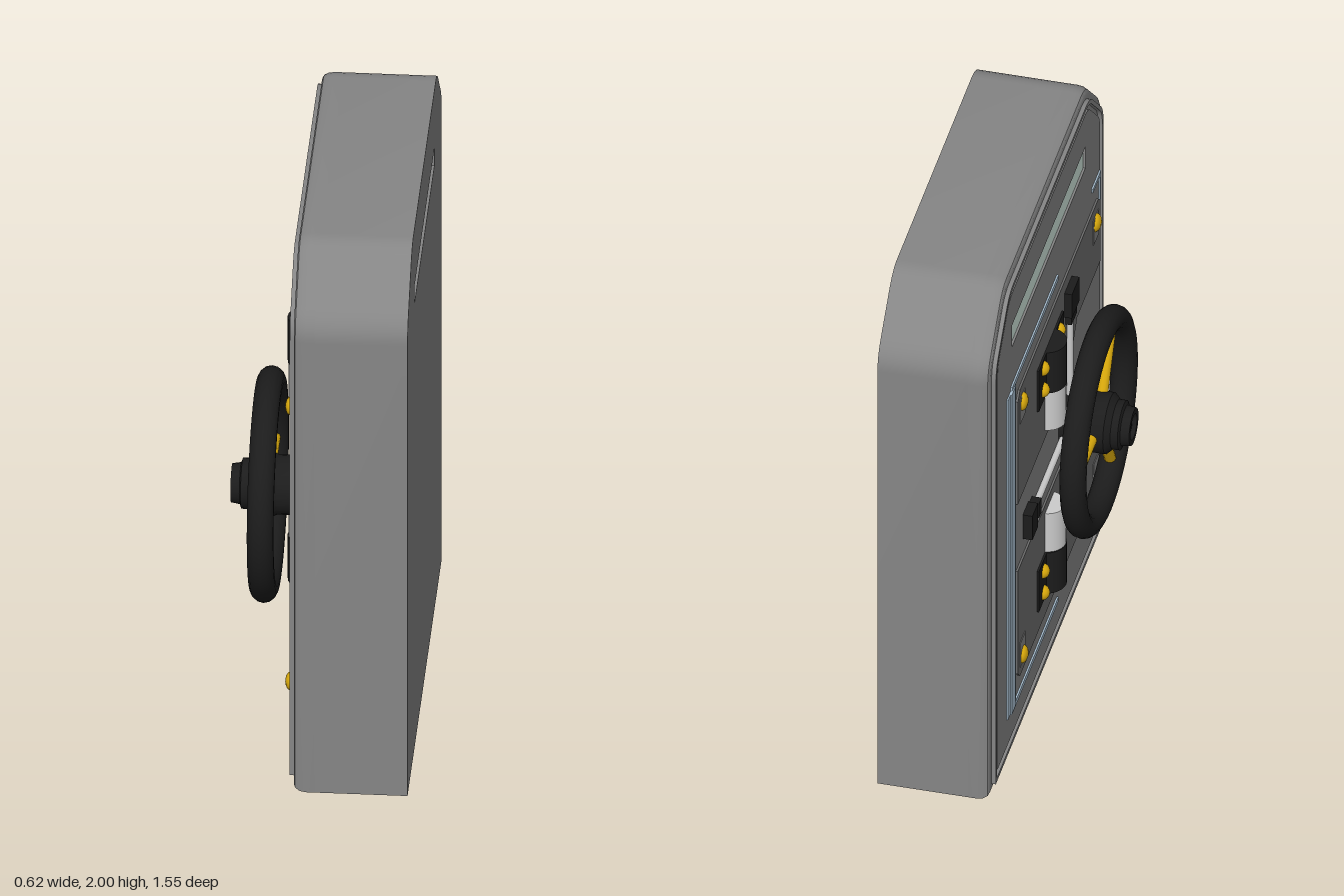
import * as THREE from 'three';
import { toCreasedNormals } from 'three/addons/utils/BufferGeometryUtils.js';

const mat = (color) => new THREE.MeshStandardMaterial({ color });

export function createModel() {
  const model = new THREE.Group();
  model.name = 'vaultDoor';
  // Built facing local +z, then turned so that the door faces -x
  const door = new THREE.Group();
  door.name = 'door';
  door.rotation.y = -Math.PI / 2;
  model.add(door);

  const steel = mat(0x858585), plateGrey = mat(0x6c6c6c), light = mat(0xcccccc);
  const black = mat(0x1c1c1c), yellow = mat(0xd9a90c), blue = mat(0xa9c0d2), glass = mat(0xcfe4da);

  const add = (name, geo, material, x = 0, y = 0, z = 0) => {
    const m = new THREE.Mesh(geo, material);
    m.name = name;
    m.position.set(x, y, z);
    door.add(m);
    return m;
  };
  // Box given by its limits
  const box = (name, material, x0, x1, y0, y1, z0, z1) =>
    add(name, new THREE.BoxGeometry(x1 - x0, y1 - y0, z1 - z0), material,
      (x0 + x1) / 2, (y0 + y1) / 2, (z0 + z1) / 2);
  const extrude = (name, shape, material, z0, depth, bevel = { bevelEnabled: false }) => {
    const geo = new THREE.ExtrudeGeometry(shape, { depth, curveSegments: 6, ...bevel });
    return add(name, toCreasedNormals(geo, 0.6), material, 0, 0, z0);
  };

  // Door outline with chamfered, softened upper corners, inset by i
  const trace = (path, i) => {
    const w = 0.775 - i, t = 2 - i, k = i * 0.41, d = i * 0.7;
    path.moveTo(-w, i);
    path.lineTo(w, i);
    path.lineTo(w, 1.73 - k);
    path.quadraticCurveTo(w, 1.79 - k, 0.73 - d, 1.835 - d);
    path.lineTo(0.62 - d, 1.945 - d);
    path.quadraticCurveTo(0.57 - k, t, 0.51 - k, t);
    path.lineTo(-0.51 + k, t);
    path.quadraticCurveTo(-0.57 + k, t, -0.62 + d, 1.945 - d);
    path.lineTo(-0.73 + d, 1.835 - d);
    path.quadraticCurveTo(-w, 1.79 - k, -w, 1.73 - k);
    path.closePath();
    return path;
  };
  const slot = (w, y0, y1) => new THREE.Path([
    [-w, y0], [-w, y1], [w, y1], [w, y0], [-w, y0]].map(([x, y]) => new THREE.Vector2(x, y)));
  const slab = (inset, hole) => {
    const s = trace(new THREE.Shape(), inset);
    s.holes.push(hole);
    return s;
  };

  // Body, bevelled front, raised rim and inner face
  extrude('body', slab(0, slot(0.45, 1.71, 1.78)), steel, -0.31, 0.31);
  extrude('frontBevel', slab(0, slot(0.45, 1.71, 1.78)), steel, 0, 0.03,
    { bevelEnabled: true, bevelThickness: 0.04, bevelSize: 0.02, bevelOffset: -0.02, bevelSegments: 3 });
  extrude('rim', slab(0.04, trace(new THREE.Path(), 0.055)), steel, 0.06, 0.025);
  extrude('innerFace', slab(0.075, slot(0.5, 1.7, 1.79)), steel, 0.06, 0.022);
  box('windowGlass', glass, -0.5, 0.5, 1.7, 1.79, 0.066, 0.074);

  const MID = 0.86;
  // Hub and handwheel
  const HX = 0.23;
  const hubProfile = [[0, 0.08], [0.1, 0.08], [0.1, 0.16], [0.105, 0.17], [0.105, 0.235], [0.085, 0.255],
    [0.085, 0.28], [0.07, 0.285], [0.065, 0.315], [0.045, 0.315], [0.04, 0.3], [0, 0.3]]
    .map(([r, z]) => new THREE.Vector2(r, z));
  const hub = toCreasedNormals(new THREE.LatheGeometry(hubProfile, 24), 0.5);
  hub.rotateX(Math.PI / 2);
  add('hub', hub, black, HX, MID);
  add('wheelRim', new THREE.TorusGeometry(0.35, 0.045, 14, 48), black, HX, MID, 0.195);
  for (let i = 0; i < 3; i++) {
    const a = Math.PI / 3 + i * Math.PI * 2 / 3;
    const spoke = add('wheelSpoke', new THREE.CylinderGeometry(0.02, 0.02, 0.26, 12), yellow,
      HX + 0.21 * Math.cos(a), MID + 0.21 * Math.sin(a), 0.195);
    spoke.rotation.z = a - Math.PI / 2;
  }

  // Parts mirrored above and below the middle line
  for (const s of [1, -1]) {
    const half = s > 0 ? 'upper' : 'lower';
    const Y = (d) => MID + s * d;
    const mbox = (name, material, x0, x1, d0, d1, z0, z1) =>
      box(half + name, material, x0, x1, Math.min(Y(d0), Y(d1)), Math.max(Y(d0), Y(d1)), z0, z1);

    // Stepped cover plate with cut outer corners
    const pts = [[-0.45, 0.14], [0.22, 0.14], [0.36, 0.32], [0.68, 0.32], [0.68, 0.57],
      [0.65, 0.6], [-0.42, 0.6], [-0.45, 0.57]].map(([x, d]) => new THREE.Vector2(x, Y(d)));
    extrude(half + 'CoverPlate', new THREE.Shape(pts), plateGrey, 0.075, 0.014);

    // Corner bolts on square washers
    for (const x of [-0.39, 0.61]) {
      mbox('BoltWasher', steel, x - 0.035, x + 0.035, 0.46, 0.56, 0.085, 0.092);
      const bolt = add(half + 'CornerBolt', new THREE.SphereGeometry(0.032, 14, 10), yellow, x, Y(0.53), 0.09);
      bolt.scale.z = 0.6;
    }

    // Cylinder clamp with four bolts, and its ram
    mbox('ClampBase', black, -0.19, 0.15, 0.335, 0.505, 0.08, 0.096);
    add(half + 'Clamp', new THREE.CylinderGeometry(0.07, 0.07, 0.17, 24), black, -0.018, Y(0.42), 0.077);
    add(half + 'Ram', new THREE.CylinderGeometry(0.062, 0.062, 0.16, 24), light, -0.018, Y(0.255), 0.083);
    for (const x of [-0.125, 0.09])
      for (const d of [0.38, 0.47])
        add(half + 'ClampBolt', new THREE.SphereGeometry(0.027, 14, 10), yellow, x, Y(d), 0.09);

    // Pale trim strips and corner brackets
    mbox('TrimStrip', blue, -0.52, 0.11, 0.665, 0.685, 0.08, 0.088);
    mbox('BracketArm', blue, 0.58, 0.69, 0.675, 0.69, 0.08, 0.088);
    mbox('BracketLeg', blue, 0.677, 0.69, 0.57, 0.69, 0.08, 0.088);
  }
  box('sideTrim', blue, -0.575, -0.465, 0.19, 1.53, 0.078, 0.087);
  box('sideTrimRidge', blue, -0.545, -0.495, 0.19, 1.53, 0.08, 0.092);

  // Latch blocks with thin rods running to the hub
  box('topLatch', black, 0.185, 0.285, 1.31, 1.41, 0.08, 0.115);
  box('topLatchCollar', black, 0.2, 0.27, 1.27, 1.3, 0.08, 0.11);
  box('sideLatch', black, -0.355, -0.28, 0.785, 0.885, 0.08, 0.115);
  box('sideLatchCollar', black, -0.265, -0.23, 0.81, 0.87, 0.08, 0.115);
  add('topRod', new THREE.CylinderGeometry(0.012, 0.012, 0.4, 10), light, HX, 1.12, 0.096);
  const rod = add('sideRod', new THREE.CylinderGeometry(0.012, 0.012, 0.46, 10), light, -0.07, 0.84, 0.096);
  rod.rotation.z = Math.PI / 2;

  return model;
}
